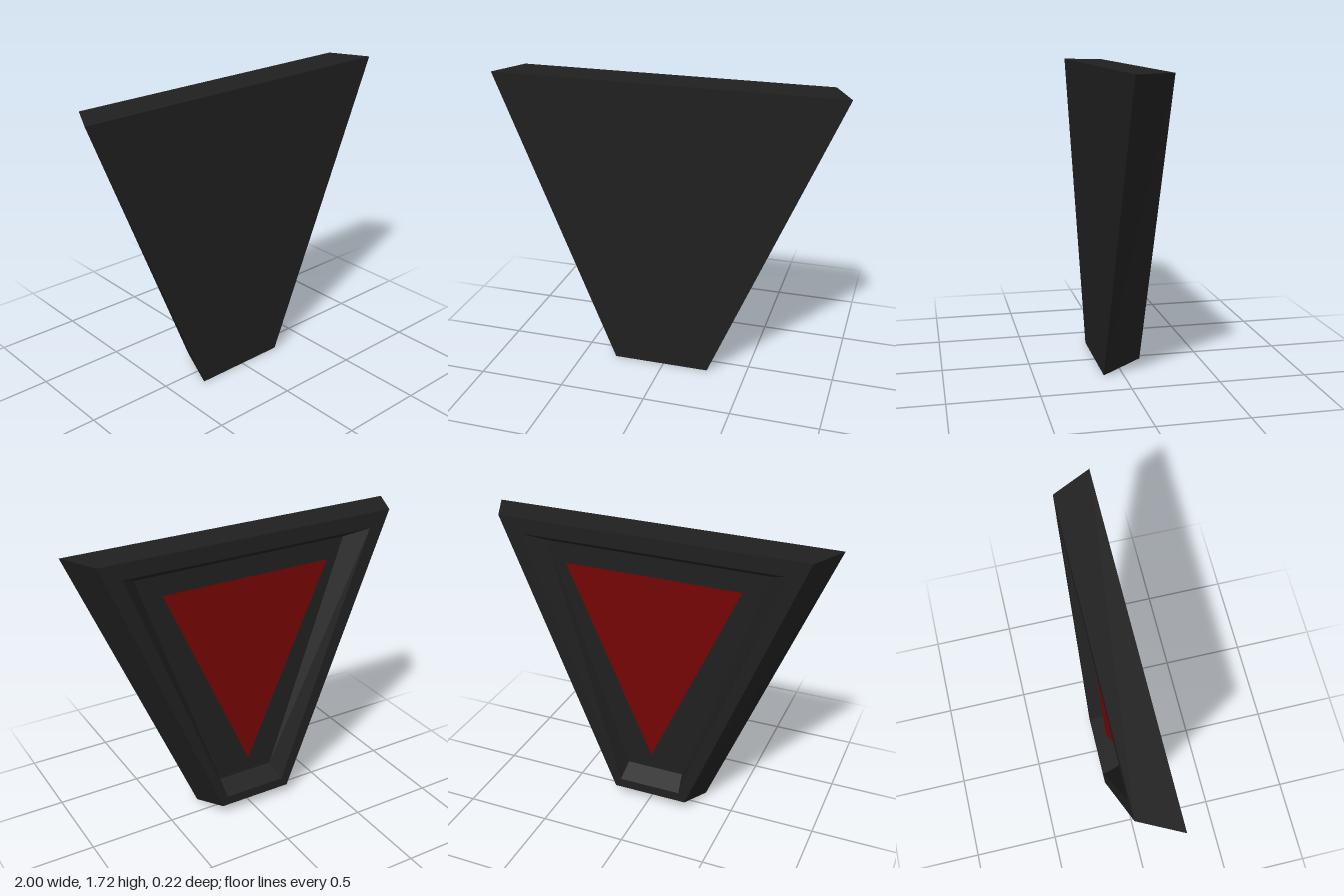
import * as THREE from 'three';

const dark = new THREE.MeshStandardMaterial({ color: 0x1f1f1f });
dark.name = 'charcoal';
const red = new THREE.MeshStandardMaterial({ color: 0x740404, side: THREE.DoubleSide });
red.name = 'deep red';

// Four-cornered cross-section: bottom right, bottom left, top left, top right of the model
const ring = (bottomRight, bottomLeft, bottomY, topX, topY, z) => [
  [bottomRight, bottomY, z], [bottomLeft, bottomY, z], [topX, topY, z], [-topX, topY, z],
];

// Mesh with flat faces from a list of corner triples
function facets(name, triangles, material) {
  const geometry = new THREE.BufferGeometry();
  geometry.setAttribute('position', new THREE.Float32BufferAttribute(triangles.flat(2), 3));
  geometry.computeVertexNormals();
  const mesh = new THREE.Mesh(geometry, material);
  mesh.name = name;
  return mesh;
}

// Band of quads joining two cross-sections
function band(a, b) {
  const triangles = [];
  for (let i = 0; i < 4; i++) {
    const j = (i + 1) % 4;
    triangles.push([a[i], b[i], b[j]], [a[i], b[j], a[j]]);
  }
  return triangles;
}

export function createModel() {
  const group = new THREE.Group();
  group.name = 'taperedPanel';

  const front = ring(-0.3, 0.27, 0, 1, 1.72, 0.11);
  const back = ring(-0.24, 0.21, 0.063, 0.89, 1.72, -0.11);
  const lip = ring(-0.2, 0.177, 0.12, 0.76, 1.63, -0.11);
  const floor = ring(-0.18, 0.17, 0.18, 0.656, 1.567, 0);

  // Casing: front plate, slanted sides and flat back rim
  group.add(facets('frontPlate', [[front[0], front[1], front[2]], [front[0], front[2], front[3]]], dark));
  group.add(facets('outerSides', band(front, back), dark));
  group.add(facets('backRim', band(back, lip), dark));

  // Bevelled recess in the back
  group.add(facets('recessWalls', band(lip, floor), dark));
  group.add(facets('recessFloor', [[floor[0], floor[2], floor[1]], [floor[0], floor[3], floor[2]]], dark));

  // Red triangle set inside the recess, facing backwards
  const z = -0.047;
  group.add(facets('redTriangle', [[[0, 0.305, z], [-0.517, 1.47, z], [0.517, 1.47, z]]], red));

  return group;
}
